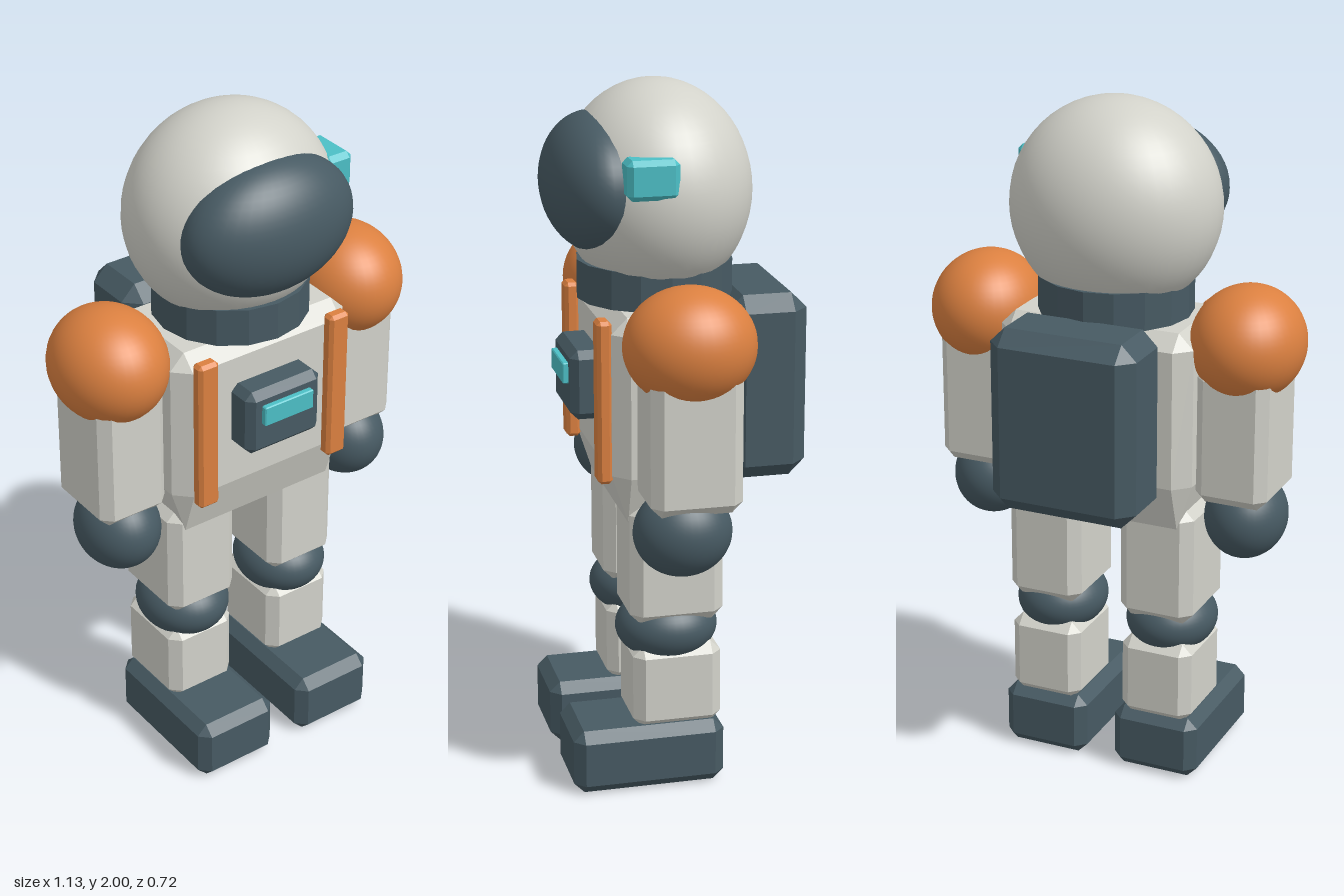
import * as THREE from 'three';
import { ConvexGeometry } from 'three/addons/geometries/ConvexGeometry.js';

const paint = (name, color, flatShading = false) => {
  const m = new THREE.MeshStandardMaterial({ color, flatShading });
  m.name = name;
  return m;
};

// Box with chamfered edges; the bottom chamfer may have its own height.
function chamferBox(w, h, d, c, bottomC = c) {
  const points = [];
  const hx = w / 2, hy = h / 2, hz = d / 2;
  for (const sx of [-1, 1]) for (const sy of [-1, 1]) for (const sz of [-1, 1]) {
    const cy = sy < 0 ? bottomC : c;
    points.push(
      new THREE.Vector3(sx * hx, sy * (hy - cy), sz * (hz - c)),
      new THREE.Vector3(sx * (hx - c), sy * hy, sz * (hz - c)),
      new THREE.Vector3(sx * (hx - c), sy * (hy - cy), sz * hz)
    );
  }
  return new ConvexGeometry(points);
}

export function createModel() {
  const suit = paint('suitWhite', 0xd2d2ca);
  const slate = paint('slate', 0x475a63);
  const orange = paint('orange', 0xdb8040);
  const cyan = paint('cyan', 0x4cbfc6);

  const model = new THREE.Group();
  model.name = 'spacesuitFigure';

  const add = (name, geometry, material, x, y, z) => {
    const mesh = new THREE.Mesh(geometry, material);
    mesh.name = name;
    mesh.position.set(x, y, z);
    model.add(mesh);
    return mesh;
  };
  const box = (name, mat, [x, y, z], [w, h, d], c, bottomC) =>
    add(name, chamferBox(w, h, d, c, bottomC), mat, x, y, z);
  const ellipsoid = (name, mat, [x, y, z], [rx, ry, rz]) =>
    add(name, new THREE.SphereGeometry(1, 40, 28).scale(rx, ry, rz), mat, x, y, z);

  // Head
  ellipsoid('helmet', suit, [0, 1.695, 0.035], [0.305, 0.305, 0.27]);
  ellipsoid('visor', slate, [0, 1.72, 0.205], [0.265, 0.195, 0.152]);
  box('helmetLamp', cyan, [0.265, 1.775, 0.107], [0.09, 0.11, 0.145], 0.015);
  const collar = new THREE.CylinderGeometry(0.222, 0.222, 0.11, 16).toNonIndexed();
  collar.computeVertexNormals();
  add('neckRing', collar, slate, 0, 1.445, 0.037);

  // Torso, its bottom drawn in towards the hips
  box('torso', suit, [0, 1.095, 0.036], [0.59, 0.59, 0.36], 0.045, 0.14);
  box('chestPanel', slate, [0, 1.165, 0.25], [0.25, 0.2, 0.105], 0.022);
  box('chestScreen', cyan, [0, 1.195, 0.308], [0.165, 0.06, 0.022], 0.003);
  box('backpack', slate, [0, 1.147, -0.245], [0.44, 0.535, 0.23], 0.045);

  // Paired parts
  for (const [side, s] of [['left', 1], ['right', -1]]) {
    box(side + 'Strap', orange, [s * 0.222, 1.15, 0.234], [0.066, 0.465, 0.042], 0.01);

    // Arm
    ellipsoid(side + 'Shoulder', orange, [s * 0.404, 1.346, 0.034], [0.162, 0.163, 0.183]);
    box(side + 'Arm', suit, [s * 0.4, 1.09, 0.032], [0.216, 0.4, 0.256], 0.03);
    ellipsoid(side + 'Glove', slate, [s * 0.402, 0.82, 0.053], [0.118, 0.126, 0.138]);

    // Leg
    box(side + 'Thigh', suit, [s * 0.177, 0.675, 0.035], [0.228, 0.36, 0.27], 0.032);
    ellipsoid(side + 'Knee', slate, [s * 0.178, 0.46, 0.046], [0.133, 0.1, 0.147]);
    box(side + 'Shin', suit, [s * 0.178, 0.3, 0.033], [0.22, 0.25, 0.256], 0.03);
    box(side + 'Boot', slate, [s * 0.178, 0.095, 0.12], [0.264, 0.19, 0.44], 0.03);
  }
  return model;
}
